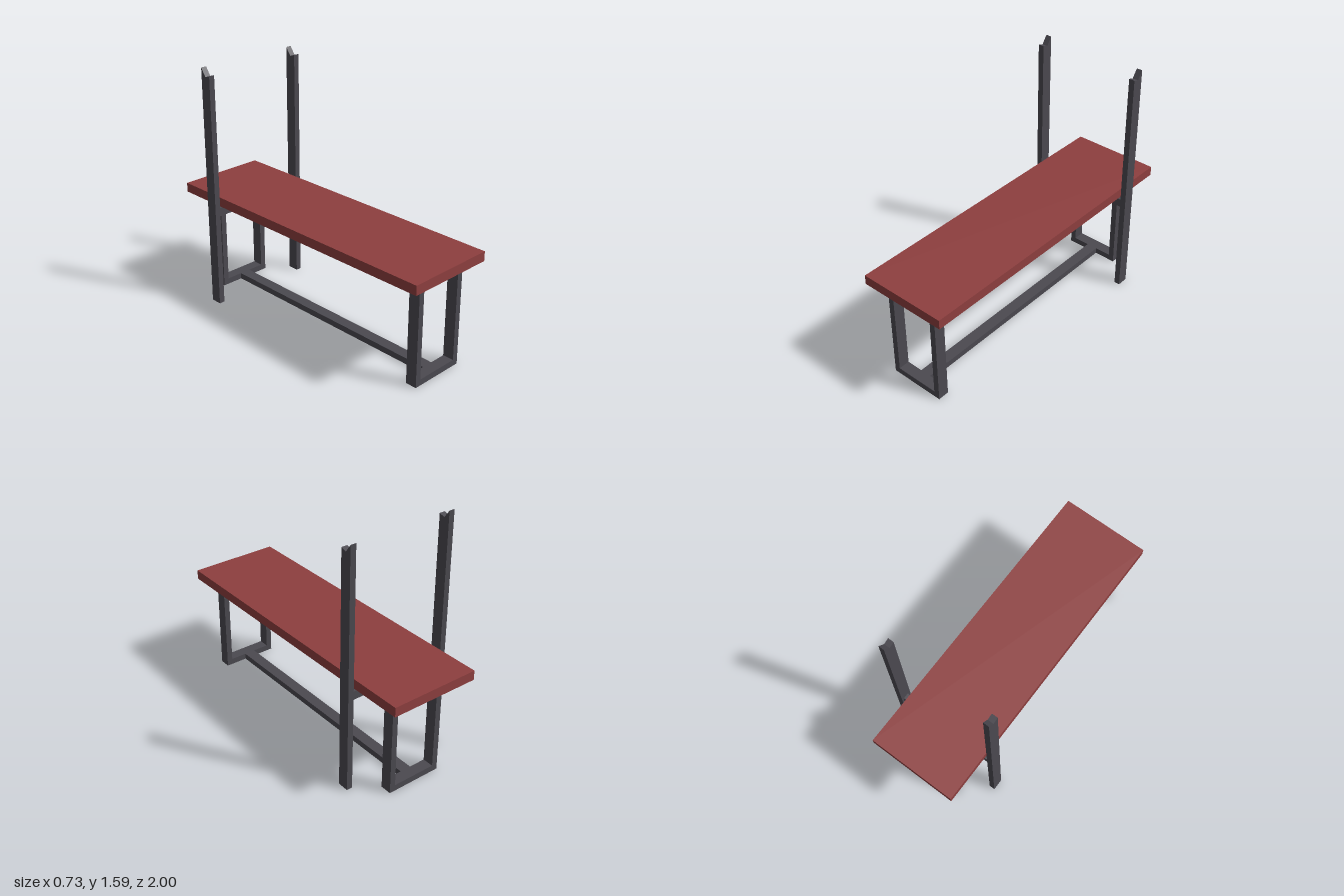
import * as THREE from 'three';

export function createModel() {
  const model = new THREE.Group();
  model.name = 'weightBench';
  const red = new THREE.MeshStandardMaterial({ color: 0x8e3f3f });
  red.name = 'red pad';
  const steel = new THREE.MeshStandardMaterial({ color: 0x4b4950 });
  steel.name = 'dark steel';

  // Box given by its minimum and maximum corners
  const box = (name, material, [x0, y0, z0], [x1, y1, z1], parent = model) => {
    const geometry = new THREE.BoxGeometry(x1 - x0, y1 - y0, z1 - z0);
    geometry.translate((x0 + x1) / 2, (y0 + y1) / 2, (z0 + z1) / 2);
    const mesh = new THREE.Mesh(geometry, material);
    mesh.name = name;
    parent.add(mesh);
  };

  // Flat bench pad
  box('benchPad', red, [-0.295, 0.666, -1], [0.295, 0.728, 1]);

  // Rectangular leg frames, each one extruded with a hole
  const outline = new THREE.Shape([[-0.185, 0], [0.185, 0], [0.185, 0.666], [-0.185, 0.666]]
    .map(([x, y]) => new THREE.Vector2(x, y)));
  outline.holes.push(new THREE.Path([[-0.147, 0.04], [-0.147, 0.628], [0.147, 0.628], [0.147, 0.04]]
    .map(([x, y]) => new THREE.Vector2(x, y))));
  for (const [name, z] of [['frontLegFrame', 0.859], ['backLegFrame', -0.864]]) {
    const frame = new THREE.Mesh(
      new THREE.ExtrudeGeometry(outline, { depth: 0.074, bevelEnabled: false }), steel);
    frame.name = name;
    frame.position.z = z;
    model.add(frame);
  }

  // Floor rail joining the leg frames
  box('floorRail', steel, [-0.037, 0, -0.79], [0.037, 0.04, 0.859]);

  // Cross bar under the pad carrying the uprights
  box('crossBar', steel, [-0.327, 0.61, -0.675], [0.327, 0.666, -0.636]);

  // Uprights with a notched top that cradles the bar; shape x runs towards the back
  const post = new THREE.Shape([[0.616, 0], [0.69, 0], [0.69, 1.59], [0.653, 1.538], [0.616, 1.55]]
    .map(([x, y]) => new THREE.Vector2(x, y)));
  for (const [name, x] of [['leftUpright', 0.327], ['rightUpright', -0.365]]) {
    const geometry = new THREE.ExtrudeGeometry(post, { depth: 0.038, bevelEnabled: false });
    geometry.rotateY(Math.PI / 2);
    const upright = new THREE.Mesh(geometry, steel);
    upright.name = name;
    upright.position.x = x;
    model.add(upright);
  }
  return model;
}
